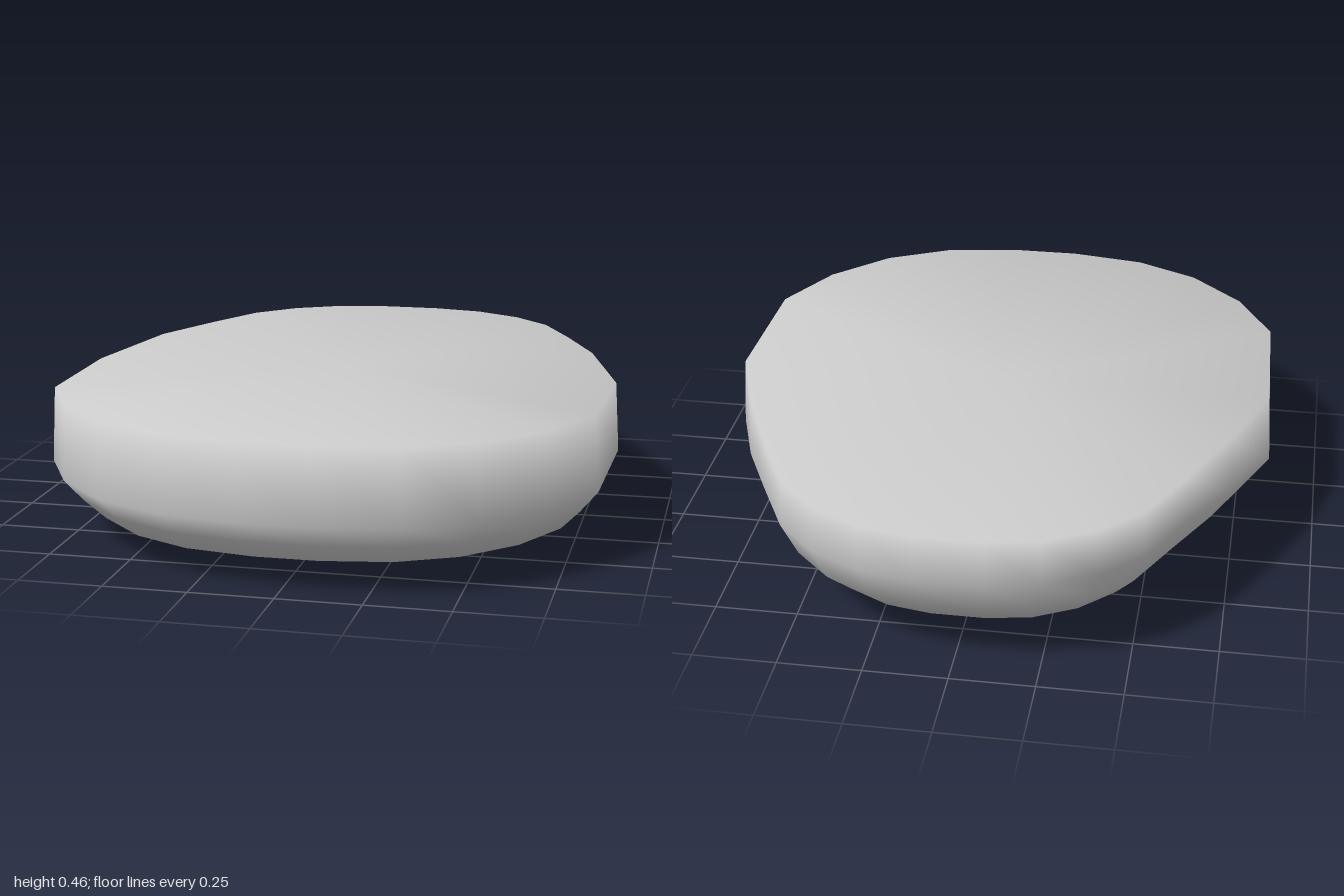
import * as THREE from 'three';

// Half of the egg-shaped outline [x, z], from the narrow back to the wide front
const HALF = [
  [0.10, -1.0], [0.26, -0.97], [0.41, -0.89], [0.53, -0.77], [0.63, -0.57], [0.74, -0.32],
  [0.85, 0.01], [0.835, 0.47], [0.72, 0.69], [0.55, 0.86], [0.35, 0.96], [0.11, 1.0],
];
const OUTLINE = [...HALF, ...HALF.slice().reverse().map(([x, z]) => [-x, z])];

const lerp = THREE.MathUtils.lerp;
const rimHeight = (z) => (z < -0.25 ? 0.455 : z < 0.2 ? 0.433 : 0.44);

// Cross-sections from the top rim down; b runs from 0 at the middle to 1 at the back
const SECTIONS = [
  (x, z, b) => [x * 0.985, rimHeight(z), z * lerp(1, 0.985, b)],
  (x, z, b) => [x, lerp(0.21, 0.32, b), z],
  (x, z, b) => [x * lerp(0.935, 0.93, b), lerp(0.14, 0.2, b), z * 0.94],
  (x, z, b) => [x * lerp(0.865, 0.82, b), lerp(0.075, 0.1, b), z * lerp(0.87, 0.83, b)],
  (x, z, b) => [x * 0.36, 0.01, z * lerp(0.4, 0.1, b)],
];

function stoneGeometry() {
  const n = OUTLINE.length;
  const positions = [];
  const index = [];
  for (const section of SECTIONS) {
    for (const [x, z] of OUTLINE) {
      const b = THREE.MathUtils.smoothstep(-z, -0.15, 0.6);
      positions.push(...section(x, z, b));
    }
  }
  const topCentre = SECTIONS.length * n;
  const bottomCentre = topCentre + 1;
  positions.push(0, 0.443, 0, 0, 0, 0.2);

  const last = (SECTIONS.length - 1) * n;
  for (let j = 0; j < n; j++) {
    const k = (j + 1) % n;
    // Rounded side and underside
    for (let r = 0; r < last; r += n) {
      index.push(r + j, r + k, r + n + j, r + k, r + n + k, r + n + j);
    }
    // Flat top and bottom caps, sharing normals with the sides
    index.push(topCentre, k, j, bottomCentre, last + j, last + k);
  }
  const geometry = new THREE.BufferGeometry();
  geometry.setAttribute('position', new THREE.Float32BufferAttribute(positions, 3));
  geometry.setIndex(index);
  geometry.computeVertexNormals();
  return geometry;
}

export function createModel() {
  const group = new THREE.Group();
  group.name = 'flatStone';
  const stone = new THREE.Mesh(stoneGeometry(), new THREE.MeshStandardMaterial({ color: 0xcccccc }));
  stone.name = 'stoneBody';
  group.add(stone);
  return group;
}
